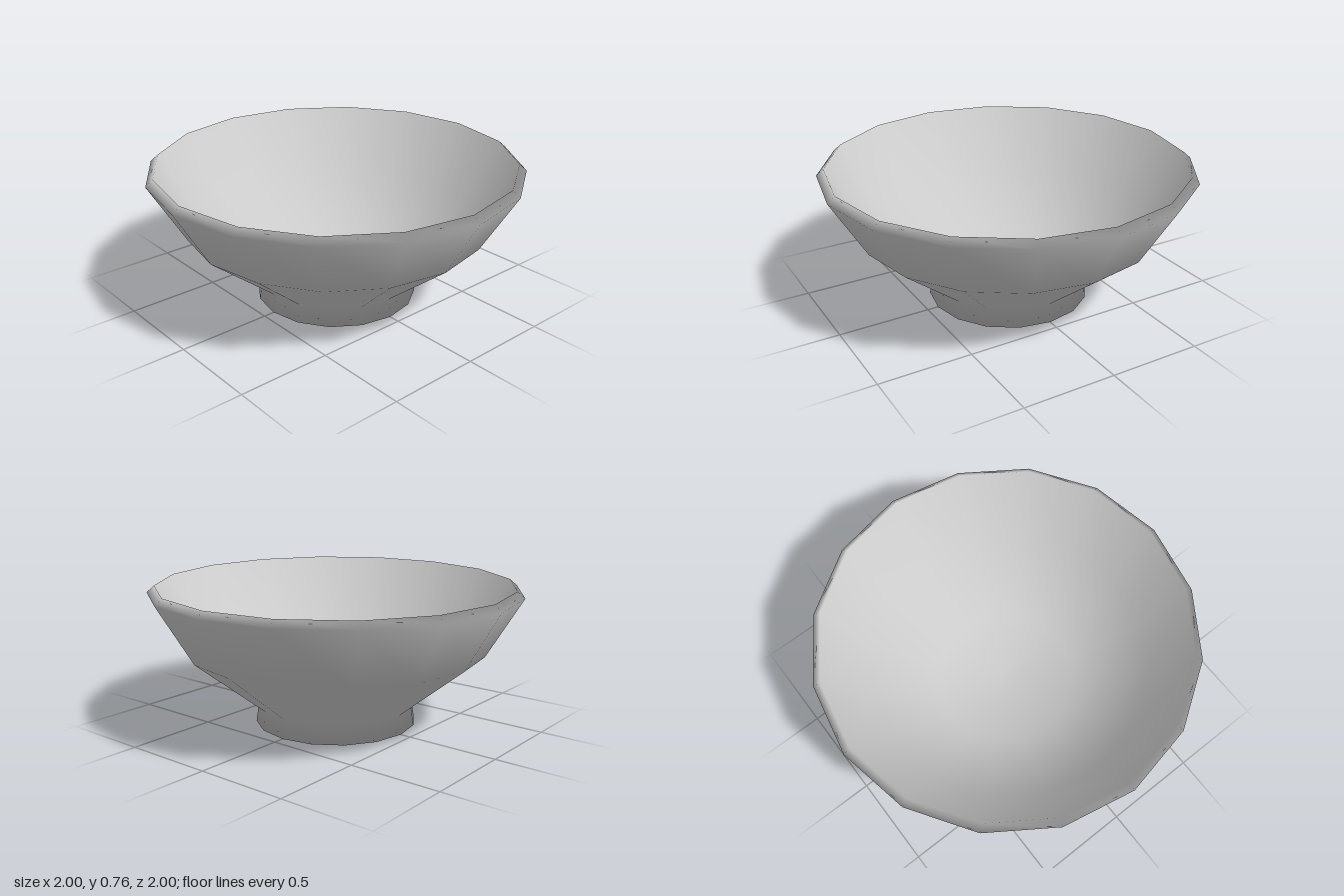
import * as THREE from 'three';

export function createModel() {
  const group = new THREE.Group();
  const material = new THREE.MeshStandardMaterial({ color: 0xcccccc });

  // Closed profile: underside, foot, outer wall, bevelled rim, inner wall, floor
  const profile = [
    [0, 0], [0.44, 0], [0.425, 0.1],
    [0.81, 0.41], [1, 0.73], [0.96, 0.765],
    [0.77, 0.43], [0.39, 0.13], [0, 0.12],
  ].map(([r, y]) => new THREE.Vector2(r, y));

  // Sixteen-sided, smooth-shaded turned body
  const bowl = new THREE.Mesh(new THREE.LatheGeometry(profile, 16), material);
  bowl.name = 'bowl';
  group.add(bowl);
  return group;
}
